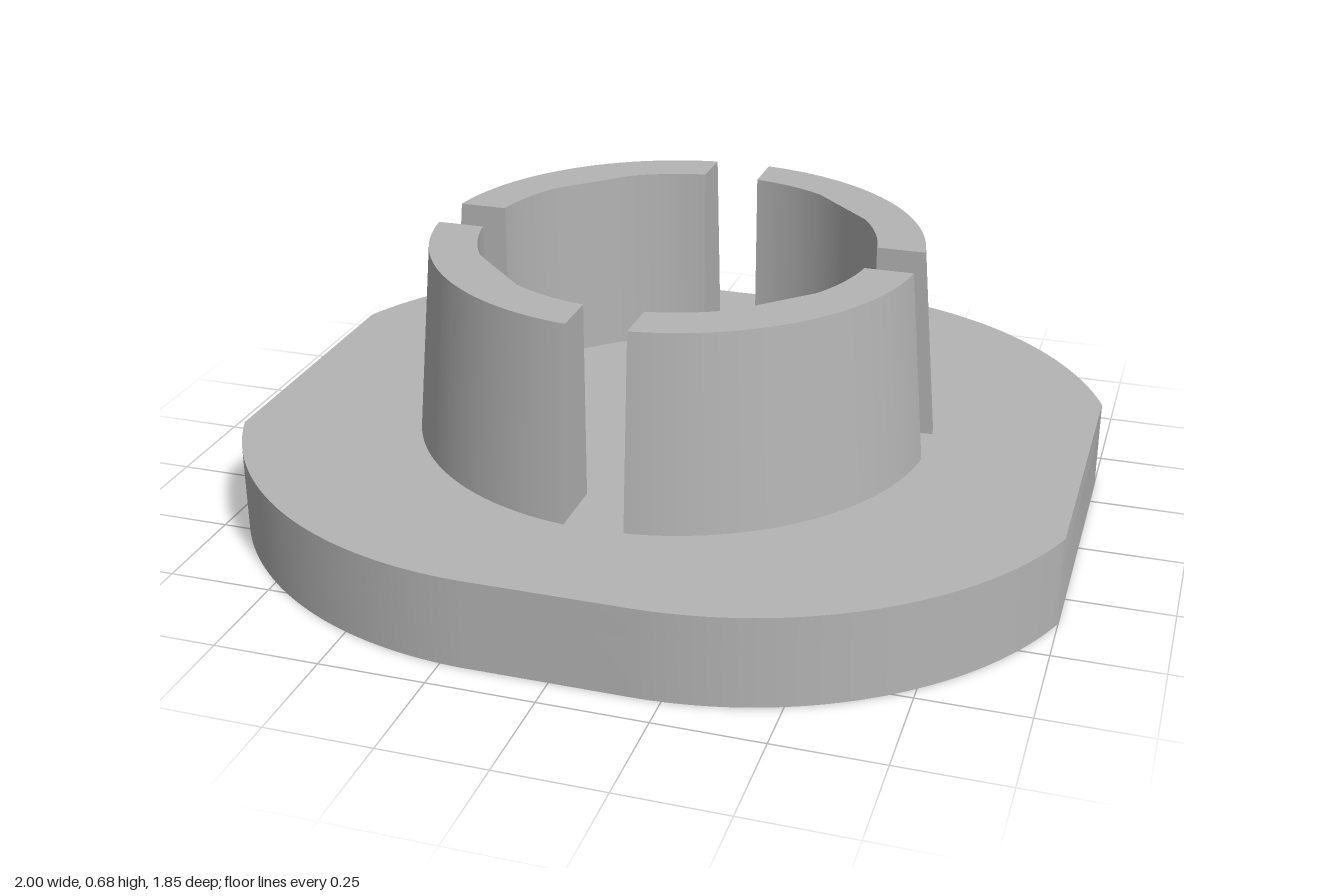
import * as THREE from 'three';
import { toCreasedNormals } from 'three/addons/utils/BufferGeometryUtils.js';

const BASE_H = 0.215, LEDGE_H = 0.148, TOP_H = 0.68;
const HALF_FLAT = 0.18, HALF_DEPTH = 0.923, ROUND = 0.88; // rounded corners, tangent to front and back
const CZ = HALF_DEPTH - ROUND;
const NOTCH_X = 0.355, NOTCH_Z = 0.825;
const GAP = 0.07, R_IN = 0.475, R_BOTTOM = 0.629, R_TOP = 0.589;

// Plan outline of the flange, shape +y being the back
function flangeOutline(notched) {
  const side = Math.acos((1 - HALF_FLAT) / ROUND);
  const end = notched ? Math.acos((NOTCH_X - HALF_FLAT) / ROUND) : Math.PI / 2;
  const s = new THREE.Shape();
  s.absarc(HALF_FLAT, CZ, ROUND, side, end, false);
  if (notched) {
    s.lineTo(NOTCH_X, NOTCH_Z);
    s.lineTo(-NOTCH_X, NOTCH_Z);
  }
  s.absarc(-HALF_FLAT, CZ, ROUND, Math.PI - end, Math.PI - side, false);
  s.absarc(-HALF_FLAT, -CZ, ROUND, Math.PI + side, Math.PI * 1.5, false);
  s.absarc(HALF_FLAT, -CZ, ROUND, Math.PI * 1.5, Math.PI * 2 - side, false);
  s.closePath();
  return s;
}

// Upright extrusion from y0 to y1
function slab(shape, y0, y1) {
  const g = new THREE.ExtrudeGeometry(shape, { depth: y1 - y0, bevelEnabled: false, curveSegments: 32 });
  return g.rotateX(-Math.PI / 2).translate(0, y0, 0);
}

// Quarter of the split collar, tapering on its outer face
function collarQuarter() {
  const a0 = Math.asin(GAP / R_BOTTOM), aIn = Math.asin(GAP / R_IN), aTop = Math.asin(GAP / R_TOP);
  const s = new THREE.Shape();
  s.absarc(0, 0, R_BOTTOM, a0, Math.PI / 2 - a0, false);
  s.absarc(0, 0, R_IN, Math.PI / 2 - aIn, aIn, true);
  s.closePath();
  const g = slab(s, BASE_H, TOP_H);
  const p = g.attributes.position;
  for (let i = 0; i < p.count; i++) {
    const x = p.getX(i), z = p.getZ(i);
    if (p.getY(i) < TOP_H - 0.01 || Math.hypot(x, z) < 0.6) continue;
    // Draw the top rim inwards, keeping the gap sides parallel
    const t = (Math.atan2(-z, x) - a0) / (Math.PI / 2 - 2 * a0);
    const a = aTop + t * (Math.PI / 2 - 2 * aTop);
    p.setX(i, R_TOP * Math.cos(a));
    p.setZ(i, -R_TOP * Math.sin(a));
  }
  return g;
}

export function createModel() {
  const model = new THREE.Group();
  const grey = new THREE.MeshStandardMaterial({ color: 0xb4b4b4 });
  grey.name = 'plain grey';
  const add = (name, geometry) => {
    const mesh = new THREE.Mesh(toCreasedNormals(geometry, 0.4), grey);
    mesh.name = name;
    model.add(mesh);
    return mesh;
  };

  // Flange, its upper layer cut by the rear notch
  add('flangeLower', slab(flangeOutline(false), 0, LEDGE_H));
  add('flangeUpper', slab(flangeOutline(true), LEDGE_H, BASE_H));

  // Four collar segments
  for (let k = 0; k < 4; k++) add('collarSegment' + (k + 1), collarQuarter()).rotation.y = k * Math.PI / 2;
  return model;
}
